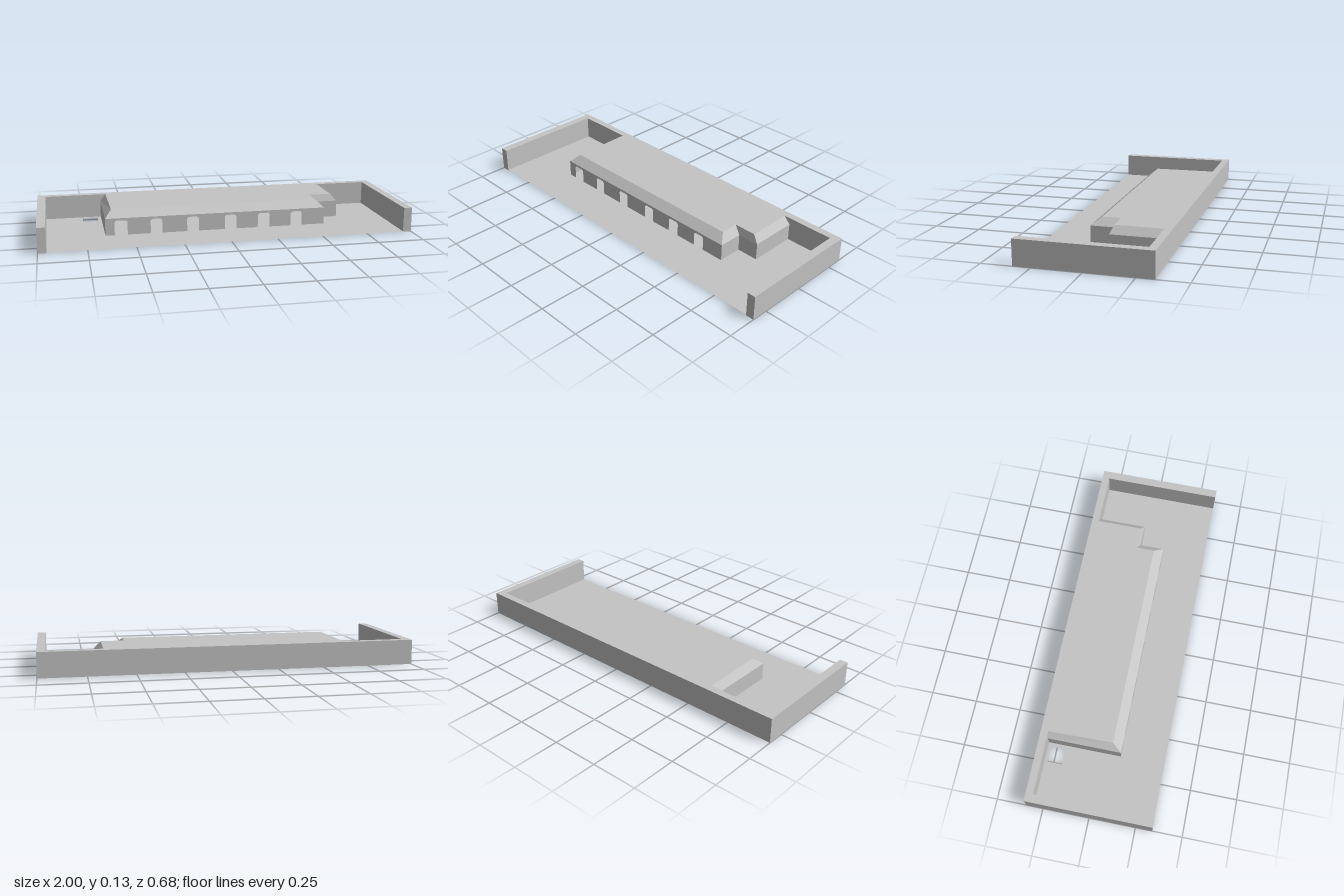
import * as THREE from 'three';

const grey = new THREE.MeshStandardMaterial({ color: 0xc4c4c4, side: THREE.DoubleSide });
grey.name = 'plain grey';

const H = 0.134; // top of walls and roof
const EAVE = 0.095; // foot of the sloped roof edge
const FLOOR = 0.002;

// Building outline as [x, z], from back left round the front to back right
const base = [[-0.645, -0.3], [-0.645, 0.1], [0.58, 0.1], [0.58, -0.035], [0.7, -0.035], [0.7, -0.3]];
const crown = [[-0.615, -0.3], [-0.608, 0.05], [0.54, 0.05], [0.54, -0.05], [0.665, -0.05], [0.665, -0.3]];

function add(group, name, geometry) {
  const mesh = new THREE.Mesh(geometry, grey);
  mesh.name = name;
  group.add(mesh);
  return mesh;
}

// Flat horizontal sheet from an [x, z] outline, facing up
function sheet(outline, y, holes = []) {
  const points = (list) => list.map(([x, z]) => new THREE.Vector2(x, -z));
  const shape = new THREE.Shape(points(outline));
  for (const h of holes) shape.holes.push(new THREE.Path(points(h)));
  return new THREE.ShapeGeometry(shape).rotateX(-Math.PI / 2).translate(0, y, 0);
}

// Flat-shaded band between two outlines, leaving out the sides in skip
function band(low, y0, high, y1, skip = []) {
  const pos = [];
  for (let i = 0; i < low.length - 1; i++) {
    if (skip.includes(i)) continue;
    const a = [low[i][0], y0, low[i][1]];
    const b = [low[i + 1][0], y0, low[i + 1][1]];
    const c = [high[i + 1][0], y1, high[i + 1][1]];
    const d = [high[i][0], y1, high[i][1]];
    pos.push(...a, ...b, ...c, ...a, ...c, ...d);
  }
  const g = new THREE.BufferGeometry();
  g.setAttribute('position', new THREE.Float32BufferAttribute(pos, 3));
  g.computeVertexNormals();
  return g;
}

// Front wall with doorways that have clipped upper corners
function frontWall() {
  const doors = [[-0.595, -0.525], [-0.4, -0.337], [-0.2, -0.135], [0.01, 0.075], [0.197, 0.265], [0.385, 0.45]];
  const top = 0.082, cut = 0.009;
  const s = new THREE.Shape();
  s.moveTo(-0.645, FLOOR);
  for (const [l, r] of doors) {
    s.lineTo(l, FLOOR);
    s.lineTo(l, top - cut);
    s.lineTo(l + cut, top);
    s.lineTo(r - cut, top);
    s.lineTo(r, top - cut);
    s.lineTo(r, FLOOR);
  }
  s.lineTo(0.58, FLOOR);
  s.lineTo(0.58, EAVE);
  s.lineTo(-0.645, EAVE);
  return new THREE.ShapeGeometry(s).translate(0, 0, 0.1);
}

export function createModel() {
  const model = new THREE.Group();
  model.name = 'walledCourtyard';

  // Ground with a square opening
  const opening = [[-0.75, -0.285], [-0.665, -0.285], [-0.665, -0.205], [-0.75, -0.205]];
  add(model, 'floor', sheet([[-1, 0.338], [1, 0.338], [1, -0.34], [-1, -0.34]], FLOOR, [opening]));

  // Boundary wall: one U-shaped piece, open at the front
  const u = [[-1, 0.34], [-0.955, 0.34], [-0.955, -0.3], [0.955, -0.3], [0.955, 0.34], [1, 0.34], [1, -0.34], [-1, -0.34]];
  const uShape = new THREE.Shape(u.map(([x, z]) => new THREE.Vector2(x, -z)));
  const wall = new THREE.ExtrudeGeometry(uShape, { depth: H, bevelEnabled: false }).rotateX(-Math.PI / 2);
  add(model, 'boundaryWall', wall);

  // Hollow building against the back wall
  const building = new THREE.Group();
  building.name = 'building';
  add(building, 'frontWall', frontWall());
  add(building, 'sideWalls', band(base, FLOOR, base, EAVE, [1]));
  add(building, 'roofSlopes', band(base, EAVE, crown, H));
  add(building, 'roof', sheet(crown, H));
  model.add(building);
  return model;
}
